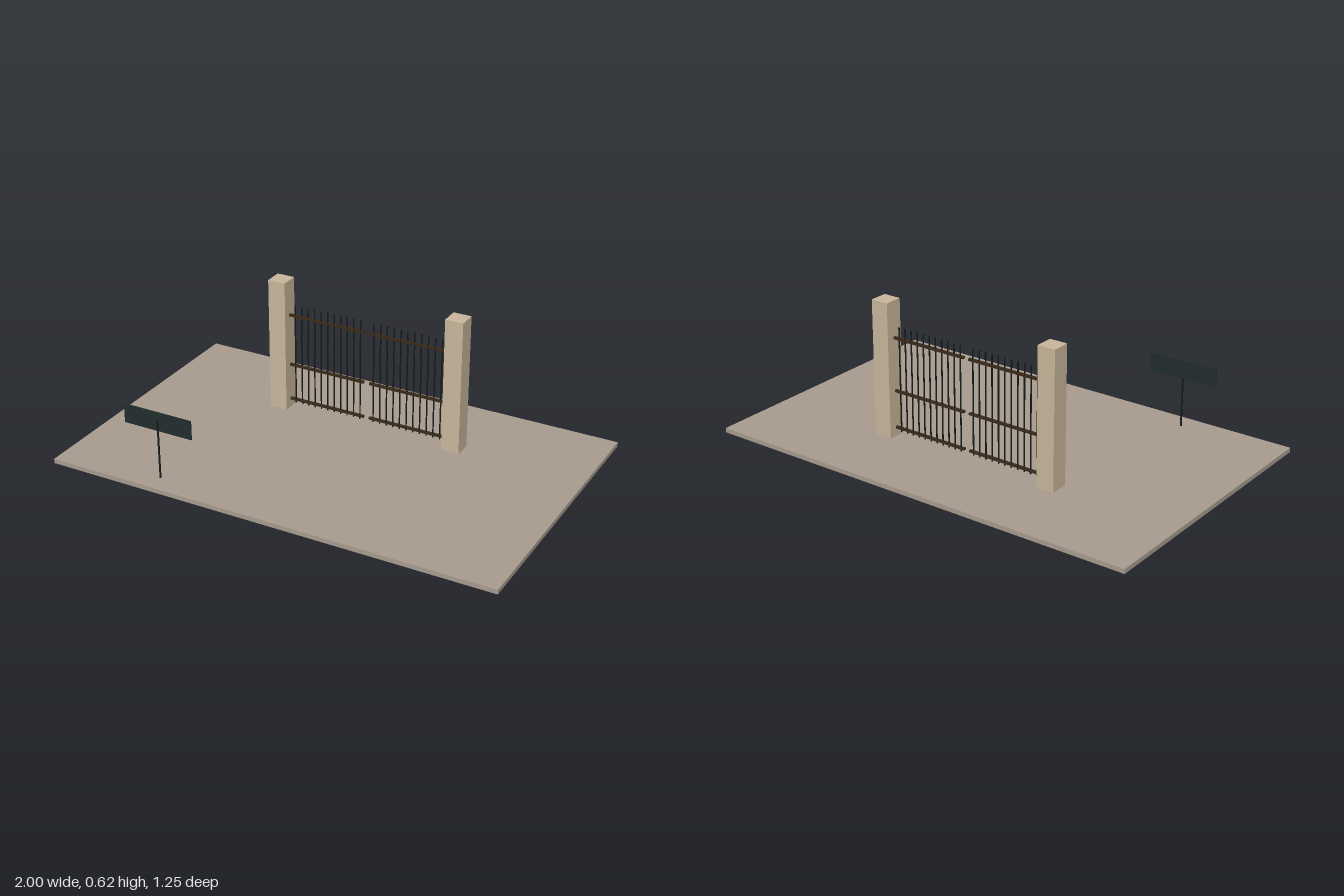
import * as THREE from 'three';

export function createModel() {
  const group = new THREE.Group();
  group.name = 'gateScene';

  const mat = (name, color) => {
    const m = new THREE.MeshStandardMaterial({ color });
    m.name = name;
    return m;
  };
  const earth = mat('earth', 0xa99c8f);
  const stone = mat('sandstone', 0xc9b79c);
  const bronze = mat('bronze', 0x3a2a1a);
  const iron = mat('blackIron', 0x14191a);
  const slate = mat('darkSlate', 0x212d2e);

  const add = (parent, name, geometry, material, x, y, z) => {
    const mesh = new THREE.Mesh(geometry, material);
    mesh.name = name;
    mesh.position.set(x, y, z);
    parent.add(mesh);
    return mesh;
  };

  // Ground slab
  add(group, 'ground', new THREE.BoxGeometry(2, 0.02, 1.25), earth, 0, 0.01, 0);

  // Two pillars, each with one gate leaf
  const gateZ = -0.25;
  const pillar = new THREE.BoxGeometry(0.08, 0.6, 0.08);
  const rail = new THREE.BoxGeometry(0.362, 0.01, 0.012);
  const bar = new THREE.CylinderGeometry(0.0032, 0.0032, 0.465, 8);
  for (const side of [-1, 1]) {
    const label = side < 0 ? 'right' : 'left';
    add(group, label + 'Pillar', pillar, stone, side * 0.413, 0.32, gateZ);

    const leaf = new THREE.Group();
    leaf.name = label + 'GateLeaf';
    group.add(leaf);
    for (const y of [0.06, 0.225, 0.46]) {
      add(leaf, 'rail', rail, bronze, side * 0.194, y, gateZ);
    }
    for (let i = 0; i < 11; i++) {
      add(leaf, 'bar', bar, iron, side * (0.0315 + i * 0.0315), 0.2775, gateZ);
    }
  }

  // Sign board on a slim post
  const sign = new THREE.Group();
  sign.name = 'sign';
  sign.position.set(-0.527, 0, 0.54);
  group.add(sign);
  add(sign, 'signBoard', new THREE.BoxGeometry(0.318, 0.084, 0.005), slate, 0, 0.278, 0);
  add(sign, 'signPost', new THREE.CylinderGeometry(0.004, 0.004, 0.265, 12), iron, 0, 0.1525, 0.002);

  return group;
}
